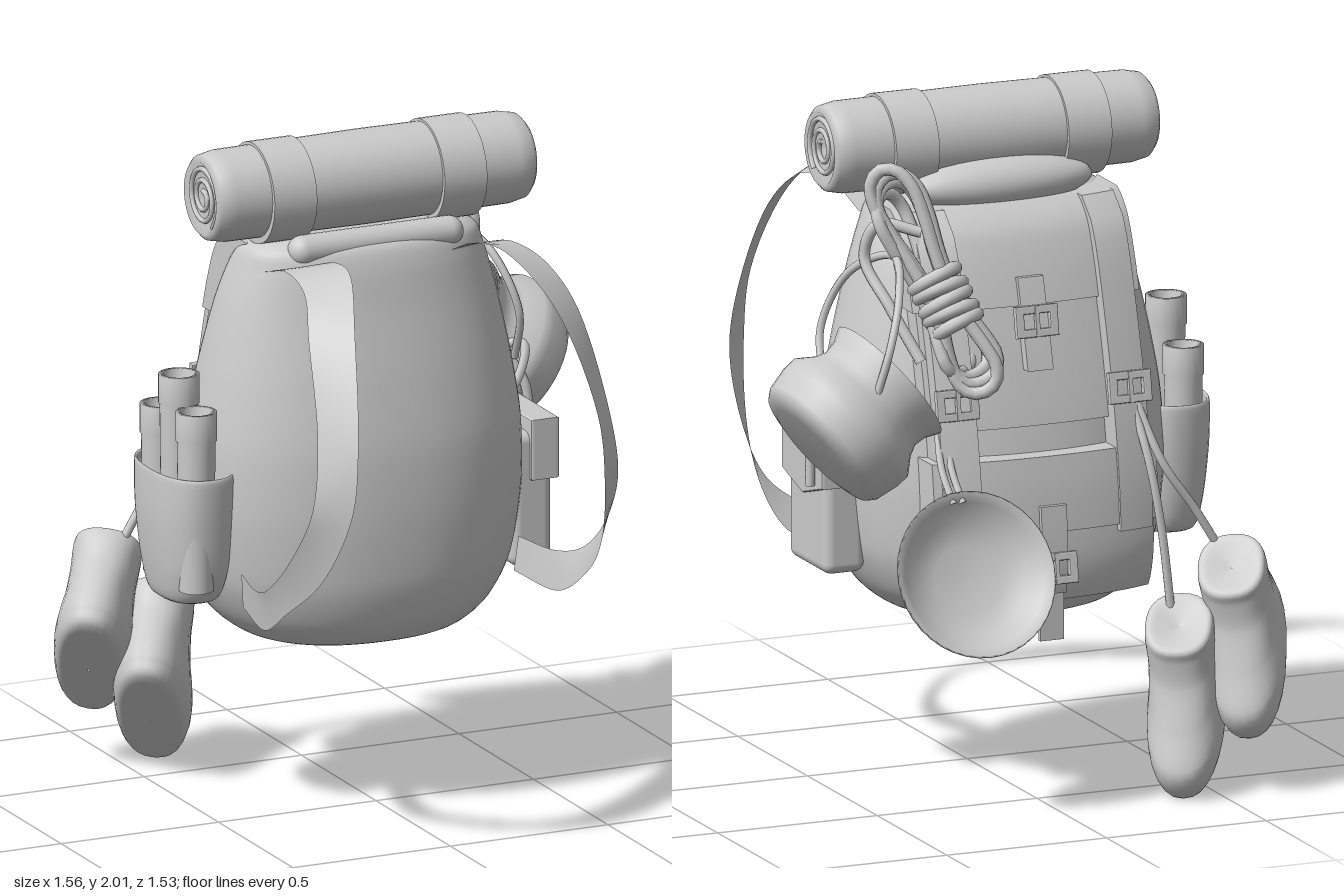
import * as THREE from 'three';
import { ParametricGeometry } from 'three/addons/geometries/ParametricGeometry.js';
import { RoundedBoxGeometry } from 'three/addons/geometries/RoundedBoxGeometry.js';

const V = (x, y, z) => new THREE.Vector3(x, y, z);
const material = new THREE.MeshStandardMaterial({ color: 0xcccccc });
const thin = new THREE.MeshStandardMaterial({ color: 0xcccccc, side: THREE.DoubleSide });

function add(parent, name, geometry, mat = material) {
  const m = new THREE.Mesh(geometry, mat);
  m.name = name;
  parent.add(m);
  return m;
}

// Cross-sections [y, half width, front z, back z] blended into one smooth profile
function makeProfile(rows) {
  const dims = new THREE.CatmullRomCurve3(rows.map(r => V(r[1], r[2], r[3])), false, 'catmullrom', 0.4);
  const heights = new THREE.CatmullRomCurve3(rows.map(r => V(0, r[0], 0)), false, 'catmullrom', 0.4);
  return v => {
    const d = dims.getPoint(v);
    return { y: heights.getPoint(v).y, w: Math.max(d.x, 0.0005), c: (d.y + d.z) / 2, r: Math.max((d.y - d.z) / 2, 0.0005) };
  };
}

// Superellipse sections; n sets how square they are
function loft(rows, slices, stacks, n = 2.4) {
  const profile = makeProfile(rows);
  const p = x => Math.sign(x) * Math.abs(x) ** (2 / n);
  return new ParametricGeometry((u, v, target) => {
    const s = profile(v), a = u * Math.PI * 2;
    target.set(s.w * p(Math.cos(a)), s.y, s.c - s.r * p(Math.sin(a)));
  }, slices, stacks);
}

const bagRows = [
  [0.48, 0.001, -0.13, -0.132], [0.485, 0.2, 0.04, -0.28], [0.51, 0.33, 0.15, -0.41], [0.58, 0.415, 0.21, -0.47],
  [0.7, 0.475, 0.245, -0.49], [0.9, 0.505, 0.255, -0.475], [1.1, 0.5, 0.245, -0.44], [1.3, 0.468, 0.21, -0.39],
  [1.5, 0.423, 0.165, -0.33], [1.62, 0.385, 0.14, -0.28], [1.68, 0.355, 0.115, -0.22], [1.71, 0.27, 0.06, -0.15],
  [1.715, 0.001, -0.04, -0.042],
];
const bagProfile = makeProfile(bagRows);
const bagN = 2.25;

// Depth of the bag's back at a point
function backZ(x, y) {
  let lo = 0, hi = 1;
  for (let i = 0; i < 24; i++) {
    const mid = (lo + hi) / 2;
    if (bagProfile(mid).y < y) lo = mid; else hi = mid;
  }
  const s = bagProfile(lo), k = Math.min(Math.abs(x) / s.w, 1);
  return s.c - s.r * (1 - k ** bagN) ** (1 / bagN);
}

// Slab on the bag's back, with an outer face flatter than the bag
function backPanel(parent, name, x0, x1, y0, y1, thick) {
  const g = new THREE.BoxGeometry(x1 - x0, y1 - y0, 1, 16, 16, 1);
  g.translate((x0 + x1) / 2, (y0 + y1) / 2, 0);
  const p = g.attributes.position;
  for (let i = 0; i < p.count; i++) {
    const x = p.getX(i), y = p.getY(i);
    p.setZ(i, p.getZ(i) < 0 ? backZ(x * 0.75, y) - thick : backZ(x, y));
  }
  g.computeVertexNormals();
  return add(parent, name, g);
}

function tube(parent, name, points, r = 0.014, closed = false) {
  const curve = new THREE.CatmullRomCurve3(points.map(p => V(...p)), closed);
  return add(parent, name, new THREE.TubeGeometry(curve, 56, r, 8, closed));
}

// Flat strap spanned between two edge curves
function ribbon(parent, name, left, right) {
  const a = new THREE.CatmullRomCurve3(left), b = new THREE.CatmullRomCurve3(right);
  const g = new ParametricGeometry((u, v, t) => t.lerpVectors(a.getPoint(v), b.getPoint(v), u), 2, 56);
  return add(parent, name, g, thin);
}

function lathe(parent, name, points, seg = 40) {
  return add(parent, name, new THREE.LatheGeometry(points.map(p => new THREE.Vector2(...p)), seg), thin);
}

function aim(object, dir, position) {
  object.quaternion.setFromUnitVectors(V(0, 1, 0), V(...dir).normalize());
  object.position.set(...position);
  return object;
}

function buckle(parent, x, y, offset) {
  const g = new THREE.Group();
  g.name = 'buckle';
  const rect = (path, w, h) => path.moveTo(-w, -h).lineTo(w, -h).lineTo(w, h).lineTo(-w, h).closePath();
  const frame = rect(new THREE.Shape(), 0.062, 0.042);
  frame.holes.push(rect(new THREE.Path(), 0.044, 0.026));
  add(g, 'buckleFrame', new THREE.ExtrudeGeometry(frame, { depth: 0.014, bevelSize: 0.004, bevelThickness: 0.004, bevelSegments: 2 }));
  add(g, 'bucklePin', new THREE.BoxGeometry(0.012, 0.09, 0.014));
  g.position.set(x, y, backZ(x * 0.75, y) - offset - 0.012);
  g.rotation.x = 0.17;
  parent.add(g);
}

const bootRows = [
  [0, 0.001, 0.27, 0.26], [0.0, 0.085, 0.49, 0.02], [0.05, 0.11, 0.52, -0.015], [0.11, 0.11, 0.5, -0.015], [0.17, 0.1, 0.4, -0.005],
  [0.24, 0.097, 0.29, 0.01], [0.3, 0.1, 0.24, 0.01], [0.33, 0.096, 0.225, 0.015], [0.335, 0.075, 0.2, 0.035], [0.315, 0.001, 0.12, 0.119],
];

function boot(parent, heel, forward, up) {
  const f = V(...forward).normalize(), side = V(...up).cross(f).normalize(), u = f.clone().cross(side);
  const m = add(parent, 'boot', loft(bootRows, 28, 40));
  m.quaternion.setFromRotationMatrix(new THREE.Matrix4().makeBasis(side, u, f));
  m.position.set(...heel);
}

export function createModel() {
  const root = new THREE.Group();
  root.name = 'backpack';

  // Bag, its pads, straps and back pockets share one centre line
  const bag = new THREE.Group();
  bag.name = 'bagBody';
  bag.position.x = -0.03;
  root.add(bag);
  add(bag, 'bag', loft(bagRows, 64, 72, bagN));
  const pad = add(bag, 'topPad', new THREE.CapsuleGeometry(0.045, 0.46, 8, 20));
  pad.rotation.z = Math.PI / 2;
  pad.position.set(0, 1.685, 0.06);
  const fold = add(bag, 'flapFold', new THREE.SphereGeometry(1, 32, 20));
  fold.scale.set(0.29, 0.075, 0.09);
  fold.position.set(0, 1.73, -0.16);

  // Shoulder straps, inner and outer edge
  const inner = [[0.22, 1.63, 0.08], [0.225, 1.7, 0.25], [0.25, 1.71, 0.42], [0.32, 1.58, 0.6], [0.38, 1.3, 0.75], [0.4, 1.1, 0.755],
    [0.44, 0.88, 0.645], [0.475, 0.73, 0.46], [0.465, 0.64, 0.3], [0.43, 0.645, 0.08]];
  const outer = [[0.35, 1.63, 0.04], [0.36, 1.68, 0.22], [0.385, 1.66, 0.4], [0.425, 1.56, 0.51], [0.46, 1.3, 0.645], [0.485, 1.1, 0.665],
    [0.502, 0.92, 0.55], [0.5, 0.79, 0.39], [0.475, 0.75, 0.26], [0.44, 0.75, 0.09]];
  for (const s of [-1, 1]) ribbon(bag, 'shoulderStrap', inner.map(p => V(s * p[0], p[1], p[2])), outer.map(p => V(s * p[0], p[1], p[2])));

  // Flap, back pockets, closing straps and buckles
  backPanel(bag, 'topFlap', -0.355, 0.355, 1.42, 1.69, 0.04);
  backPanel(bag, 'middlePocket', -0.34, 0.34, 1.08, 1.43, 0.022);
  backPanel(bag, 'lowerPocket', -0.34, 0.34, 0.57, 0.98, 0.045);
  backPanel(bag, 'lowerPocketFlap', -0.35, 0.35, 0.78, 1.0, 0.06);
  for (const x of [-0.27, 0.27]) {
    backPanel(bag, 'sideStrap', x - 0.055, x + 0.055, 0.76, 1.69, 0.07);
    buckle(bag, x, 1.17, 0.07);
  }
  backPanel(bag, 'upperStrap', -0.04, 0.04, 1.24, 1.5, 0.055);
  backPanel(bag, 'lowerStrap', -0.04, 0.04, 0.6, 0.86, 0.075);
  buckle(bag, 0, 1.38, 0.055);
  buckle(bag, 0, 0.68, 0.075);
  const tail = add(bag, 'strapTail', new THREE.BoxGeometry(0.075, 0.16, 0.014));
  tail.position.set(0, 0.54, -0.535);

  // Bedroll with coiled ends and its two bands
  const roll = lathe(root, 'bedroll', [[0, -0.49], [0.05, -0.5], [0.09, -0.495], [0.108, -0.51], [0.125, -0.495], [0.134, -0.45], [0.138, 0],
    [0.134, 0.45], [0.125, 0.495], [0.108, 0.51], [0.09, 0.495], [0.05, 0.5], [0, 0.49]]);
  roll.rotation.z = Math.PI / 2;
  roll.position.set(-0.03, 1.85, -0.04);
  for (const x of [-0.53, 0.47]) {
    const coil = [];
    for (let i = 0; i <= 30; i++) {
      const a = i * 0.5, r = 0.02 + i * 0.0026;
      coil.push([x, 1.85 + r * Math.cos(a), -0.04 + r * Math.sin(a)]);
    }
    tube(root, 'bedrollCoil', coil, 0.008);
  }
  for (const x of [-0.305, 0.235]) {
    const band = add(root, 'bedrollBand', new THREE.CylinderGeometry(0.149, 0.149, 0.135, 40));
    band.rotation.z = Math.PI / 2;
    band.position.set(x, 1.845, -0.04);
  }

  // Side pocket with pointed flap
  const pocket = add(root, 'sidePocket', new RoundedBoxGeometry(0.13, 0.4, 0.27, 4, 0.03));
  pocket.position.set(0.482, 0.835, -0.1);
  const flap = new THREE.Shape([[-0.14, 0.19], [-0.14, 0.02], [0, -0.02], [0.14, 0.02], [0.14, 0.19]].map(p => new THREE.Vector2(...p)));
  const flapMesh = add(root, 'sidePocketFlap', new THREE.ExtrudeGeometry(flap, { depth: 0.07, bevelSize: 0.006, bevelThickness: 0.01, bevelSegments: 3 }));
  flapMesh.rotation.set(0, Math.PI / 2, 0);
  flapMesh.position.set(0.482, 0.88, -0.1);

  // Open pocket holding three tubes
  const holder = add(root, 'tubePocket', loft([[0.65, 0.001, -0.1, -0.102], [0.655, 0.08, 0.02, -0.23], [0.75, 0.105, 0.07, -0.27], [0.9, 0.12, 0.09, -0.29],
    [1.03, 0.12, 0.1, -0.3], [1.04, 0.112, 0.09, -0.29], [1.0, 0.1, 0.08, -0.28], [0.94, 0.001, -0.1, -0.102]], 36, 40));
  holder.position.x = -0.56;
  for (const [x, z, top] of [[-0.59, -0.2, 1.2], [-0.588, -0.08, 1.32], [-0.585, 0.03, 1.235]]) {
    lathe(root, 'tube', [[0.05, 0.7], [0.056, top - 0.09], [0.06, top - 0.085], [0.06, top], [0.045, top], [0.042, top - 0.1], [0, top - 0.1]], 24)
      .position.set(x, 0, z);
  }

  // Pot with bail handle
  aim(lathe(root, 'pot', [[0, 0], [0.16, 0], [0.205, 0.012], [0.222, 0.035], [0.235, 0.1], [0.235, 0.14], [0.2, 0.185], [0.185, 0.22], [0.19, 0.26],
    [0.21, 0.3], [0.2, 0.3], [0.175, 0.22], [0.21, 0.13], [0.18, 0.03], [0, 0.02]]), [-0.78, 0.6, 0.05], [0.67, 1.07, -0.45]);
  tube(root, 'potHandle', [[0.54, 1.19, -0.21], [0.52, 1.35, -0.14], [0.46, 1.52, -0.2], [0.39, 1.6, -0.36], [0.44, 1.53, -0.52], [0.5, 1.4, -0.6], [0.55, 1.24, -0.6]], 0.012);
  tube(root, 'potCord', [[0.44, 1.05, -0.2], [0.52, 1.12, -0.17], [0.56, 1.23, -0.19], [0.52, 1.22, -0.23], [0.57, 1.1, -0.2], [0.58, 0.9, -0.2]], 0.014);

  // Shallow dish and its cord
  aim(lathe(root, 'dish', [[0, 0], [0.11, 0.003], [0.18, 0.03], [0.225, 0.075], [0.245, 0.09], [0.24, 0.096], [0.215, 0.078], [0.17, 0.04], [0.1, 0.014], [0, 0.012]]),
    [0, 0.41, -0.91], [0.26, 0.675, -0.58]);
  for (const d of [0, 0.03]) tube(root, 'dishCord', [[0.25 + d, 1.16, -0.42], [0.27 + d, 1.0, -0.5], [0.26 + d, 0.9, -0.565]], 0.011);

  // Coiled rope: pinched loops bound in the middle
  const rope = new THREE.Group();
  rope.name = 'rope';
  for (let k = 0; k < 4; k++) {
    const pts = [];
    for (let i = 0; i < 20; i++) {
      const t = i / 20 * Math.PI * 2, c = Math.cos(t);
      pts.push([(0.09 + 0.008 * k) * Math.sin(t) * (0.35 + 1.25 * c * c), (0.355 - 0.025 * k) * c - 0.04 * Math.sin(t) ** 2, (k - 1.5) * 0.028]);
    }
    tube(rope, 'ropeLoop', pts, 0.019, true).rotation.y = -0.5 + k * 0.4;
  }
  for (let k = 0; k < 5; k++) {
    const wrap = add(rope, 'ropeWrap', new THREE.TorusGeometry(0.068, 0.02, 8, 28));
    wrap.rotation.set(Math.PI / 2 + 0.18, 0.12 * (k % 2), 0);
    wrap.position.y = -0.15 + k * 0.037;
  }
  root.add(aim(rope, [0.26, 0.67, 0.19], [0.275, 1.53, -0.395]));
  tube(root, 'ropeEnd', [[0.3, 1.66, -0.36], [0.41, 1.68, -0.3], [0.44, 1.58, -0.27], [0.4, 1.45, -0.36], [0.34, 1.3, -0.45]], 0.017);

  // Boots hanging by their laces
  boot(root, [-0.57, 0.335, -0.345], [0.34, -0.68, -0.6], [0.36, 0.75, -0.51]);
  boot(root, [-0.74, 0.505, -0.365], [0.15, -0.36, -0.32], [0.13, 0.19, -0.16]);
  tube(root, 'lace', [[-0.31, 1.15, -0.45], [-0.34, 0.95, -0.53], [-0.37, 0.75, -0.55], [-0.4, 0.5, -0.55]], 0.013);
  tube(root, 'lace', [[-0.32, 1.14, -0.46], [-0.38, 0.95, -0.53], [-0.48, 0.8, -0.54], [-0.59, 0.62, -0.54]], 0.013);
  return root;
}
